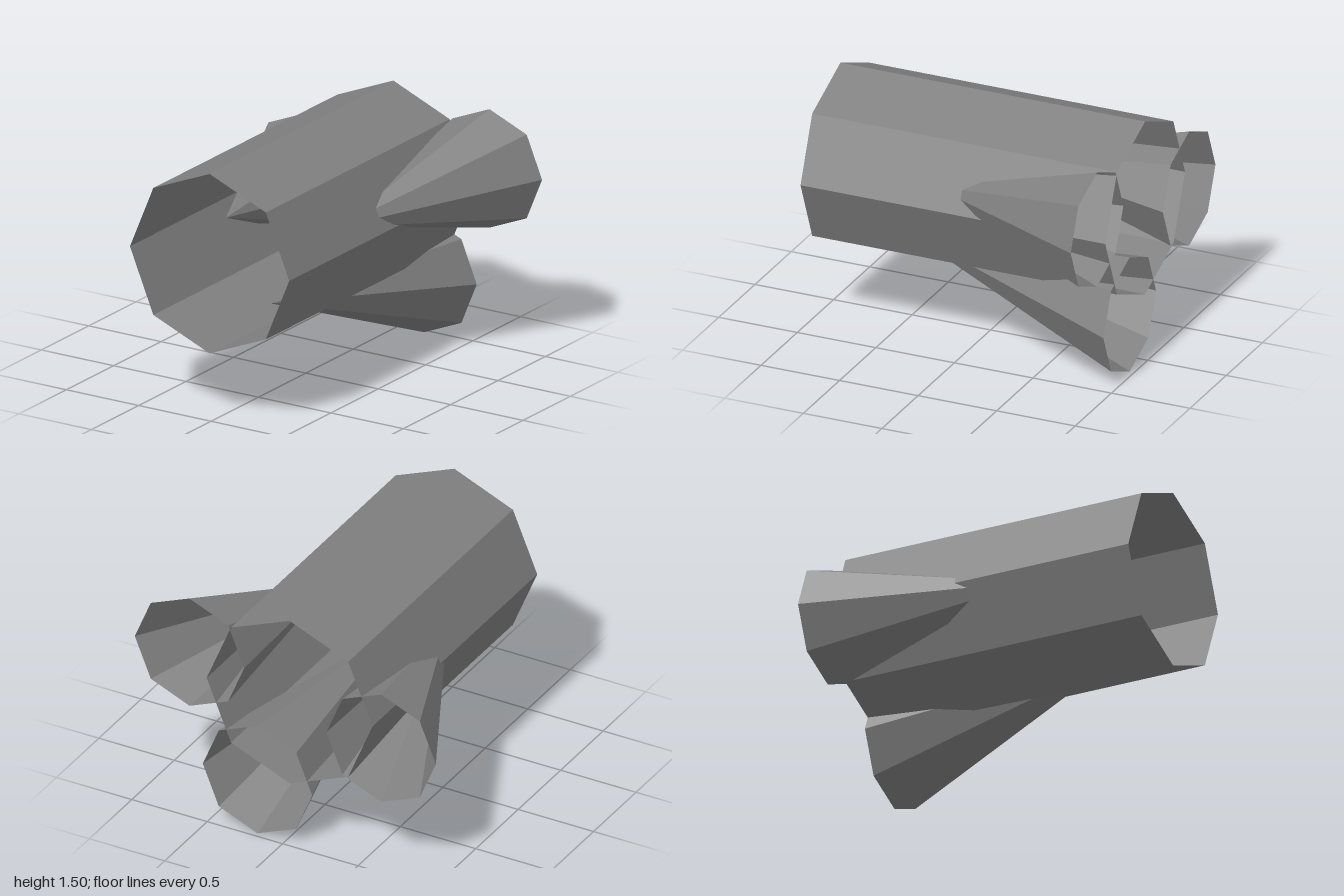
import * as THREE from 'three';

const BACK = -0.97;
const LENGTH = 1.94;

export function createModel() {
  const model = new THREE.Group();
  model.name = 'hollowTrunk';

  const grey = new THREE.MeshStandardMaterial({ color: 0x808080, side: THREE.DoubleSide, flatShading: true });
  grey.name = 'grey';

  // Open eight-sided tube running front to back
  const tube = new THREE.Mesh(
    new THREE.CylinderGeometry(0.55, 0.55, LENGTH, 8, 1, true).rotateX(Math.PI / 2),
    grey
  );
  tube.name = 'trunkTube';
  tube.position.set(-0.03, 0.955, 0);
  model.add(tube);

  // Open slanted cone: base ring at the back, tip leaning into the tube
  function addBranch(name, [x, y], [tipX, tipY], length) {
    const geometry = new THREE.ConeGeometry(0.363, length, 8, 1, true)
      .rotateX(Math.PI / 2)
      .translate(0, 0, length / 2);
    const shear = new THREE.Matrix4().set(
      1, 0, (tipX - x) / length, x,
      0, 1, (tipY - y) / length, y,
      0, 0, 1, BACK,
      0, 0, 0, 1
    );
    geometry.applyMatrix4(shear);
    const branch = new THREE.Mesh(geometry, grey);
    branch.name = name;
    model.add(branch);
  }

  addBranch('rightBranch', [-0.637, 0.825], [-0.395, 0.95], 1.21);
  addBranch('leftBranch', [0.634, 1.095], [0.352, 1.027], 1.18);
  addBranch('lowerBranch', [0.183, 0.367], [0.11, 0.612], 1.51);

  return model;
}
